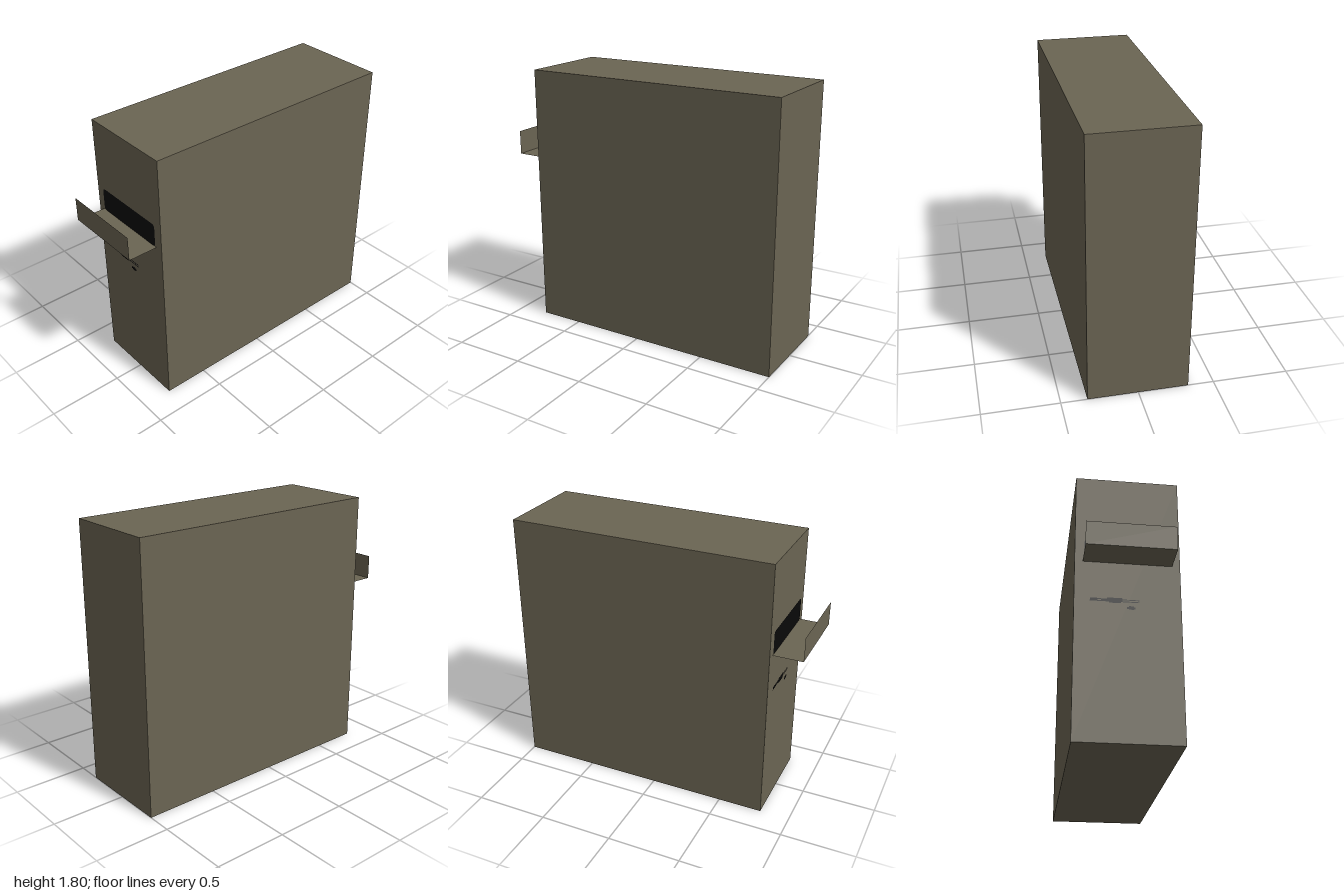
import * as THREE from 'three';

export function createModel() {
  const model = new THREE.Group();
  const casing = new THREE.MeshStandardMaterial({ color: 0x6b6553, side: THREE.DoubleSide });
  casing.name = 'casing olive grey';
  const black = new THREE.MeshStandardMaterial({ color: 0x0a0a0a, side: THREE.DoubleSide });
  black.name = 'black';

  const add = (name, geometry, material, x, y, z) => {
    const mesh = new THREE.Mesh(geometry, material);
    mesh.name = name;
    mesh.position.set(x, y, z);
    model.add(mesh);
    return mesh;
  };

  // Tall casing
  add('body', new THREE.BoxGeometry(0.66, 1.8, 1.8), casing, 0, 0.9, -0.1);

  // Open-sided tray of thin sheet: floor and front lip
  const trayBottom = 1.177, trayTop = 1.34, trayWidth = 0.56;
  const floor = add('trayFloor', new THREE.PlaneGeometry(trayWidth, 0.2), casing, 0, trayBottom, 0.9);
  floor.rotation.x = -Math.PI / 2;
  add('trayLip', new THREE.PlaneGeometry(trayWidth, trayTop - trayBottom), casing,
    0, (trayBottom + trayTop) / 2, 1);

  // Painted slot with rounded corners behind the tray
  const w = 0.27, h = 0.079, r = 0.025;
  const slot = new THREE.Shape();
  slot.moveTo(-w + r, -h);
  slot.lineTo(w - r, -h);
  slot.quadraticCurveTo(w, -h, w, -h + r);
  slot.lineTo(w, h - r);
  slot.quadraticCurveTo(w, h, w - r, h);
  slot.lineTo(-w + r, h);
  slot.quadraticCurveTo(-w, h, -w, h - r);
  slot.lineTo(-w, -h + r);
  slot.quadraticCurveTo(-w, -h, -w + r, -h);
  add('slot', new THREE.ShapeGeometry(slot), black, 0, 1.257, 0.803);

  // Painted smudge below the slot: [x, y, width, height]
  const marks = [
    [-0.08, 0.919, 0.3, 0.006], [-0.082, 0.906, 0.305, 0.006],
    [-0.208, 0.914, 0.045, 0.019], [-0.1, 0.913, 0.13, 0.016],
    [-0.082, 0.922, 0.095, 0.016], [-0.08, 0.903, 0.075, 0.016],
    [0.02, 0.865, 0.052, 0.013], [0.02, 0.866, 0.032, 0.024],
  ];
  marks.forEach(([x, y, mw, mh], i) =>
    add('smudge' + (i + 1), new THREE.PlaneGeometry(mw, mh), black, x, y, 0.803 + i * 0.0002));

  return model;
}
